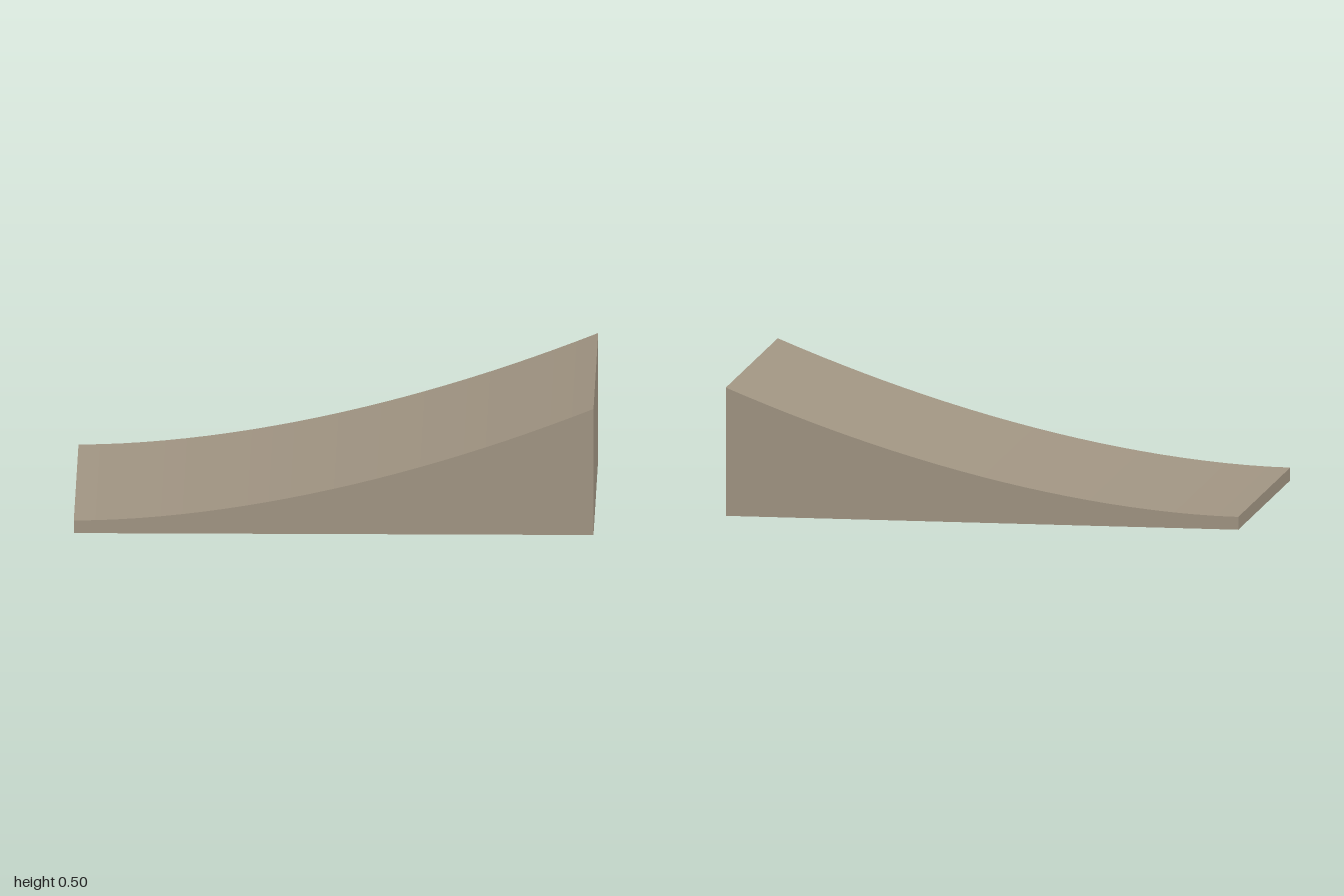
import * as THREE from 'three';

const LENGTH = 2, WIDTH = 1.2, LOW = 0.05, HIGH = 0.5, STEPS = 24;

export function createModel() {
  const group = new THREE.Group();
  group.name = 'curvedRamp';

  const stone = new THREE.MeshStandardMaterial({ color: 0xa09482 });
  stone.name = 'taupe';

  // Side profile: flat base, with a top that rises ever more steeply towards +x
  const profile = new THREE.Shape();
  profile.moveTo(-LENGTH / 2, 0);
  profile.lineTo(LENGTH / 2, 0);
  for (let i = STEPS; i >= 0; i--) {
    const t = i / STEPS;
    profile.lineTo((t - 0.5) * LENGTH, LOW + (HIGH - LOW) * Math.pow(t, 1.8));
  }
  profile.closePath();

  // Solid ramp, extruded across its width and centred on z
  const geometry = new THREE.ExtrudeGeometry(profile, { depth: WIDTH, bevelEnabled: false });
  geometry.translate(0, 0, -WIDTH / 2);

  const ramp = new THREE.Mesh(geometry, stone);
  ramp.name = 'ramp';
  group.add(ramp);
  return group;
}
